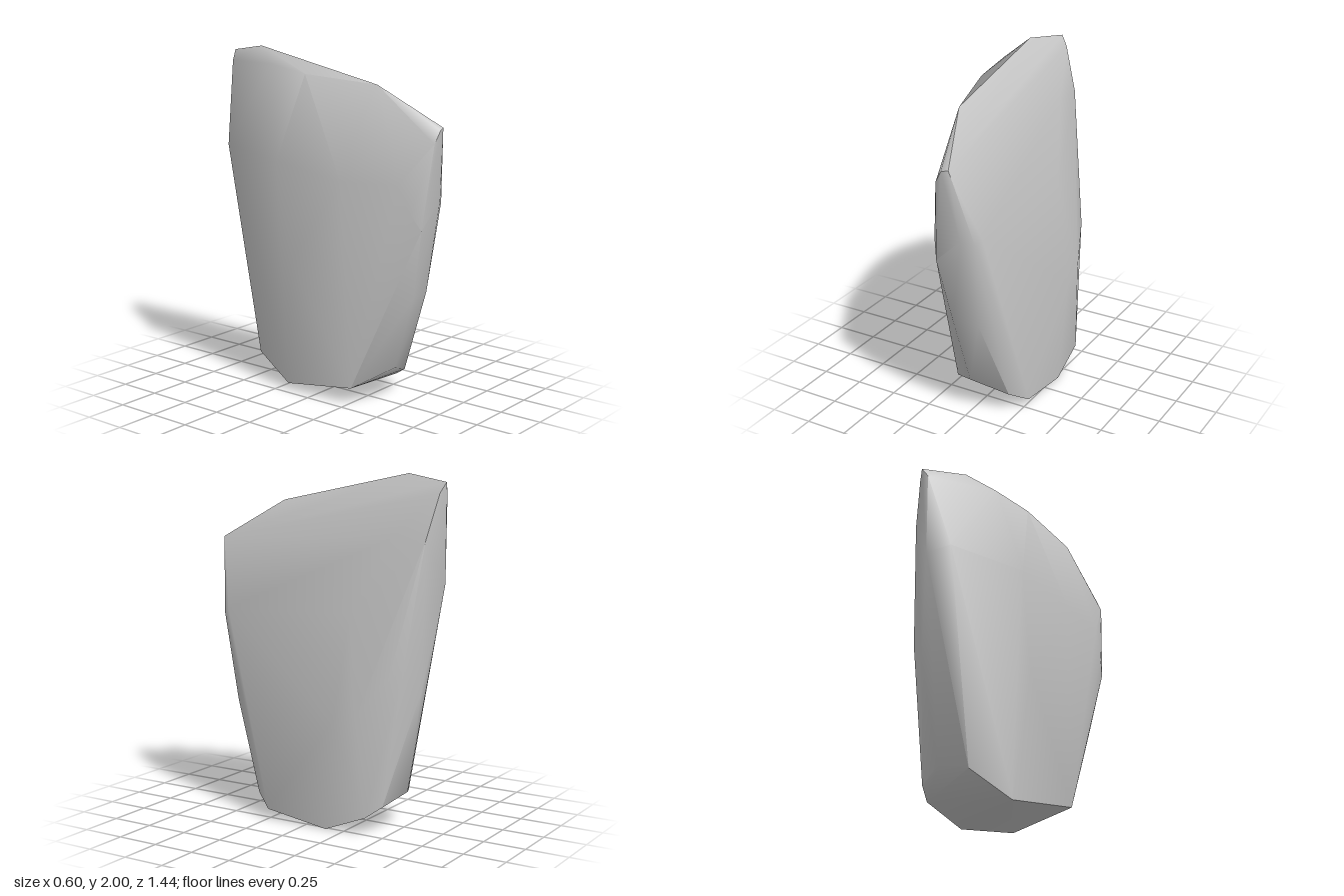
import * as THREE from 'three';
import { ConvexGeometry } from 'three/addons/geometries/ConvexGeometry.js';
import { toCreasedNormals } from 'three/addons/utils/BufferGeometryUtils.js';

const points = (rows) => rows.map(([x, y, z]) => new THREE.Vector3(x, y, z));

// Slanting ridge and the narrow chipped facet beside it
const crest = points([
  [-0.11, 2, -0.45], [-0.04, 1.96, -0.72], [-0.09, 1.83, 0.37],
  [0.05, 1.61, 0.71], [0.01, 1.6, 0.72], [-0.2, 1.91, -0.3], [-0.2, 1.87, -0.05],
]);

// Broad leaning face on the left
const leftFace = points([
  [0.09, 1.65, -0.45], [0.19, 1.23, -0.25], [0.295, 0.63, -0.2],
  [0.285, 0.66, -0.34], [0.22, 0.88, -0.51], [0.18, 1.2, 0.59],
]);

// Flatter face on the right
const rightFace = points([
  [-0.3, 1.38, -0.18], [-0.27, 0.8, -0.1], [-0.24, 1.3, 0.23], [-0.14, 1.3, 0.55],
]);

// Narrow front and back edges
const frontEdge = points([
  [-0.03, 1.53, 0.71], [-0.07, 1.05, 0.66], [0.09, 1.2, 0.67], [0.16, 1.17, 0.63],
  [-0.11, 1.15, 0.61], [-0.02, 0.65, 0.58], [0.13, 0.65, 0.56],
]);
const backEdge = points([
  [-0.08, 1.9, -0.705], [0, 1.9, -0.7], [0.08, 1.65, -0.66], [-0.21, 1.42, -0.63],
  [-0.08, 1.4, -0.7], [0.17, 0.95, -0.58], [0.04, 0.8, -0.62],
]);

// Tapered foot
const foot = points([
  [0.27, 0, -0.14], [0.28, 0.06, 0.25], [0.21, 0.13, 0.36], [0, 0.21, 0.44],
  [-0.19, 0.1, 0.27], [-0.21, 0.04, -0.18], [-0.16, 0.17, -0.44],
  [0, 0.21, -0.52], [0.2, 0.16, -0.47], [0.26, 0.1, -0.39],
]);

export function createModel() {
  const stone = new THREE.MeshStandardMaterial({ color: 0xc3c3c3 });
  stone.name = 'stone grey';

  const hull = new ConvexGeometry([
    ...crest, ...leftFace, ...rightFace, ...frontEdge, ...backEdge, ...foot,
  ]);
  // Rounded sides, sharp breaks at the crest and foot
  const rock = new THREE.Mesh(toCreasedNormals(hull, 0.95), stone);
  rock.name = 'rock';

  const group = new THREE.Group();
  group.name = 'standingStone';
  group.add(rock);
  return group;
}
